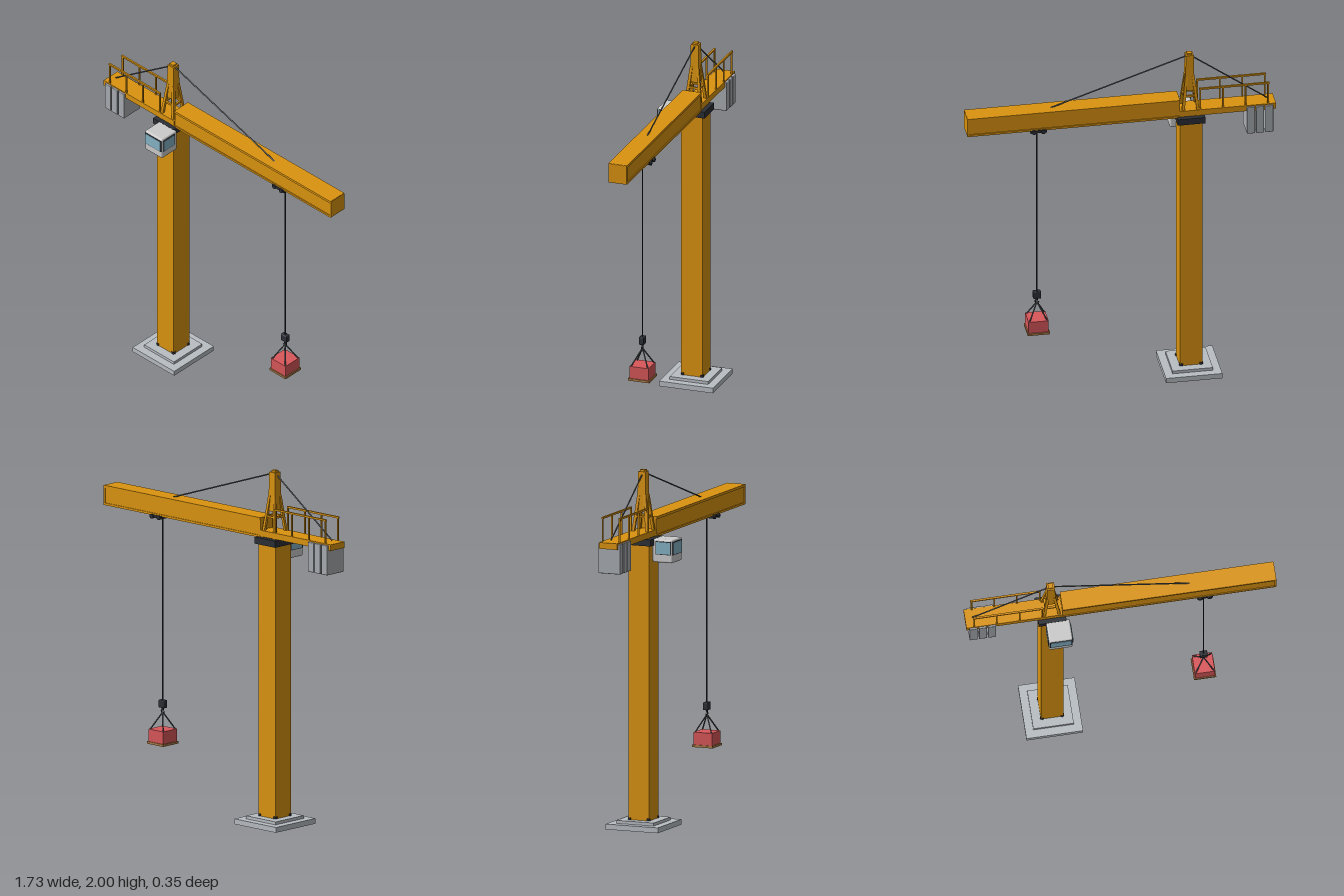
import * as THREE from 'three';
import { RoundedBoxGeometry } from 'three/addons/geometries/RoundedBoxGeometry.js';

const mat = (color) => new THREE.MeshStandardMaterial({ color });
const V = (x, y, z) => new THREE.Vector3(x, y, z);

export function createModel() {
  const orange = mat(0xdb940f), dark = mat(0x2b2f36), concrete = mat(0xb9bec3);
  const weightGrey = mat(0xa9adb2), cable = mat(0x55585c), white = mat(0xdedfdc);
  const glass = mat(0x86b3c6), red = mat(0xd9575a), wood = mat(0xa87845);

  const model = new THREE.Group();
  const crane = new THREE.Group();
  crane.name = 'crane';
  crane.position.z = -0.018;
  model.add(crane);

  const add = (name, geo, m, x = 0, y = 0, z = 0) => {
    const mesh = new THREE.Mesh(geo, m);
    mesh.name = name;
    mesh.position.set(x, y, z);
    crane.add(mesh);
    return mesh;
  };
  // Box given by its ranges along x and y and its half depth in z
  const box = (name, m, x0, x1, y0, y1, hz, z = 0) =>
    add(name, new THREE.BoxGeometry(x1 - x0, y1 - y0, hz * 2), m, (x0 + x1) / 2, (y0 + y1) / 2, z);
  // Straight bar between two points; four sides gives a square section
  const bar = (name, m, a, b, r, sides = 8) => {
    const geo = new THREE.CylinderGeometry(r, r, a.distanceTo(b), sides);
    if (sides === 4) geo.rotateY(Math.PI / 4);
    const g = sides === 4 ? geo.toNonIndexed() : geo;
    if (sides === 4) g.computeVertexNormals();
    const mesh = add(name, g, m);
    mesh.position.copy(a).lerp(b, 0.5);
    mesh.quaternion.setFromUnitVectors(V(0, 1, 0), b.clone().sub(a).normalize());
    return mesh;
  };
  const corners = [[1, 1], [1, -1], [-1, -1], [-1, 1]];
  const mx = -0.39; // mast axis

  // Foundation and mast
  box('foundation', concrete, mx - 0.158, mx + 0.158, 0, 0.03, 0.158);
  box('plinth', concrete, mx - 0.113, mx + 0.113, 0.03, 0.047, 0.113);
  box('mast', orange, mx - 0.063, mx + 0.063, 0.045, 1.59, 0.063);
  for (const [i, j] of corners) {
    add('anchorBolt', new THREE.CylinderGeometry(0.012, 0.012, 0.014, 8), dark, mx + i * 0.056, 0.053, j * 0.056);
  }
  box('slewingRing', dark, mx - 0.078, mx + 0.078, 1.585, 1.622, 0.079);

  // Tower peak: four splayed legs, ties and a tapered column
  const legTop = 0.018, legFoot = 0.046;
  for (const [i, j] of corners) {
    bar('peakLeg', orange, V(mx + i * legFoot, 1.62, j * legFoot), V(mx + i * legTop, 1.86, j * legTop), 0.011, 4);
  }
  const tie = 0.032;
  corners.forEach(([i, j], k) => {
    const [p, q] = corners[(k + 1) % 4];
    bar('peakTie', orange, V(mx + i * tie, 1.74, j * tie), V(mx + p * tie, 1.74, q * tie), 0.008, 4);
  });
  const column = new THREE.CylinderGeometry(0.022 * Math.SQRT2, 0.026 * Math.SQRT2, 0.22, 4)
    .rotateY(Math.PI / 4).toNonIndexed();
  column.computeVertexNormals();
  add('peakColumn', column, orange, mx, 1.88, 0);
  box('peakCap', orange, mx - 0.014, mx + 0.014, 1.985, 2, 0.014);

  // Jib: web box between flanges, closed by an end plate
  box('jibWeb', orange, -0.33, 0.855, 1.622, 1.722, 0.05);
  box('jibTopFlange', orange, -0.33, 0.86, 1.716, 1.73, 0.055);
  box('jibBottomFlange', orange, -0.33, 0.86, 1.618, 1.63, 0.055);
  box('jibEndPlate', orange, 0.852, 0.862, 1.62, 1.728, 0.054);

  // Counter-jib with its weights and railings
  box('counterJib', orange, -0.867, mx + 0.06, 1.625, 1.66, 0.055);
  for (const x of [-0.828, -0.776, -0.725]) {
    add('counterweight', new RoundedBoxGeometry(0.045, 0.168, 0.132, 2, 0.004), weightGrey, x, 1.569, 0);
  }
  for (const s of [1, -1]) {
    const z = s * 0.051;
    for (const x of [-0.823, -0.697, -0.57, -0.443]) {
      box('railPost', orange, x - 0.004, x + 0.004, 1.65, 1.79, 0.004, z);
    }
    box('handRail', orange, -0.83, -0.438, 1.786, 1.796, 0.005, z);
  }

  // Pendant cables
  bar('jibPendant', cable, V(mx, 1.985, 0), V(0.385, 1.727, 0), 0.004);
  bar('counterPendant', cable, V(mx, 1.985, 0), V(-0.825, 1.67, 0), 0.004);

  // Operator cab with framed windows on the front and both sides
  const cx = -0.36, cz = 0.13;
  add('cab', new RoundedBoxGeometry(0.132, 0.13, 0.122, 3, 0.01), white, cx, 1.556, cz);
  add('frontWindowFrame', new THREE.BoxGeometry(0.122, 0.074, 0.006), dark, cx, 1.573, cz + 0.06);
  add('frontWindow', new THREE.BoxGeometry(0.114, 0.066, 0.006), glass, cx, 1.573, cz + 0.062);
  for (const s of [1, -1]) {
    add('sideWindowFrame', new THREE.BoxGeometry(0.006, 0.074, 0.094), dark, cx + s * 0.065, 1.573, cz + 0.006);
    add('sideWindow', new THREE.BoxGeometry(0.006, 0.066, 0.086), glass, cx + s * 0.067, 1.573, cz + 0.006);
  }

  // Trolley under the jib
  const tx = 0.463;
  box('trolley', dark, tx - 0.045, tx + 0.045, 1.605, 1.622, 0.058);
  for (const i of [-1, 1]) for (const j of [-1, 1]) {
    add('trolleyWheel', new THREE.CylinderGeometry(0.013, 0.013, 0.012, 12).rotateX(Math.PI / 2),
      dark, tx + i * 0.026, 1.612, j * 0.058);
  }

  // Hoist rope, hook block and hook
  bar('hoistRope', dark, V(tx, 0.56, 0), V(tx, 1.61, 0), 0.004);
  add('hookBlock', new RoundedBoxGeometry(0.044, 0.044, 0.03, 2, 0.005), dark, tx, 0.547, 0);
  bar('hookShank', dark, V(tx, 0.51, 0), V(tx, 0.53, 0), 0.006);
  add('hook', new THREE.TorusGeometry(0.01, 0.004, 8, 16, Math.PI * 1.5).rotateZ(-Math.PI), dark, tx, 0.505, 0);

  // Slung load on a pallet
  for (const [i, j] of corners) {
    bar('sling', cable, V(tx, 0.5, 0), V(tx + i * 0.05, 0.402, j * 0.05), 0.004);
  }
  box('load', red, tx - 0.056, tx + 0.056, 0.334, 0.405, 0.056);
  box('pallet', wood, tx - 0.062, tx + 0.062, 0.322, 0.335, 0.062);

  return model;
}
